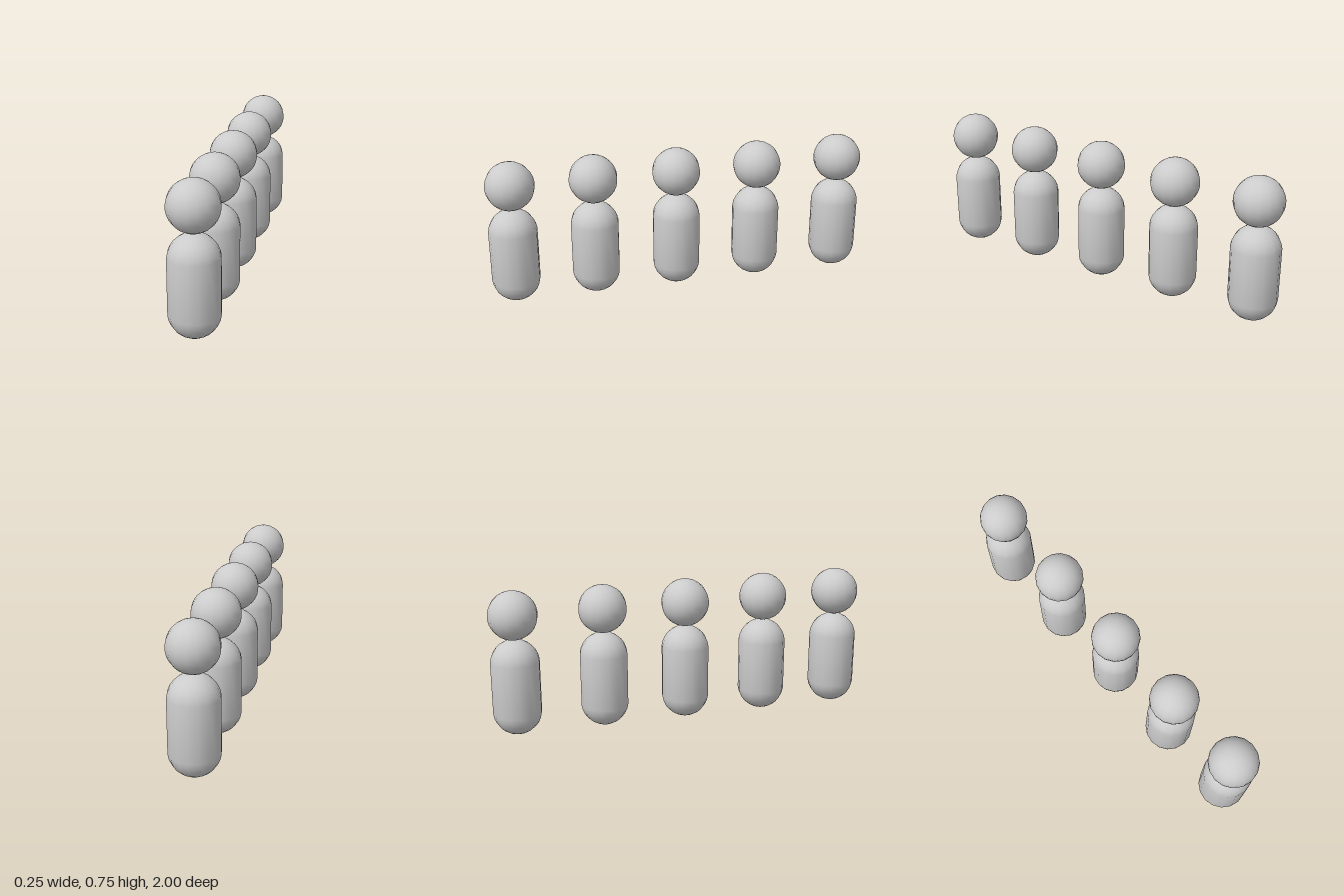
import * as THREE from 'three';

const R = 0.125;
const FIGURE_Z = [0.875, 0.455, 0.02, -0.42, -0.875];

// Capsule: a sphere whose equatorial band is stretched, keeping its smooth normals
function capsuleGeometry(radius, stretch) {
  const geometry = new THREE.SphereGeometry(radius, 16, 15);
  const pos = geometry.attributes.position;
  for (let i = 0; i < pos.count; i++) {
    pos.setY(i, pos.getY(i) + Math.sign(pos.getY(i)) * stretch / 2);
  }
  return geometry;
}

export function createModel() {
  const model = new THREE.Group();
  model.name = 'figureRow';
  const material = new THREE.MeshStandardMaterial({ color: 0xcccccc });
  const bodyGeometry = capsuleGeometry(R, 2 * R);
  const headGeometry = new THREE.SphereGeometry(R, 16, 15);

  // Row of simple standing figures, each a capsule body with a ball head
  FIGURE_Z.forEach((z, i) => {
    const figure = new THREE.Group();
    figure.name = `figure${i + 1}`;

    const body = new THREE.Mesh(bodyGeometry, material);
    body.name = 'body';
    body.position.y = 2 * R;

    const head = new THREE.Mesh(headGeometry, material);
    head.name = 'head';
    head.position.y = 5 * R;

    figure.add(body, head);
    figure.position.z = z;
    model.add(figure);
  });
  return model;
}
